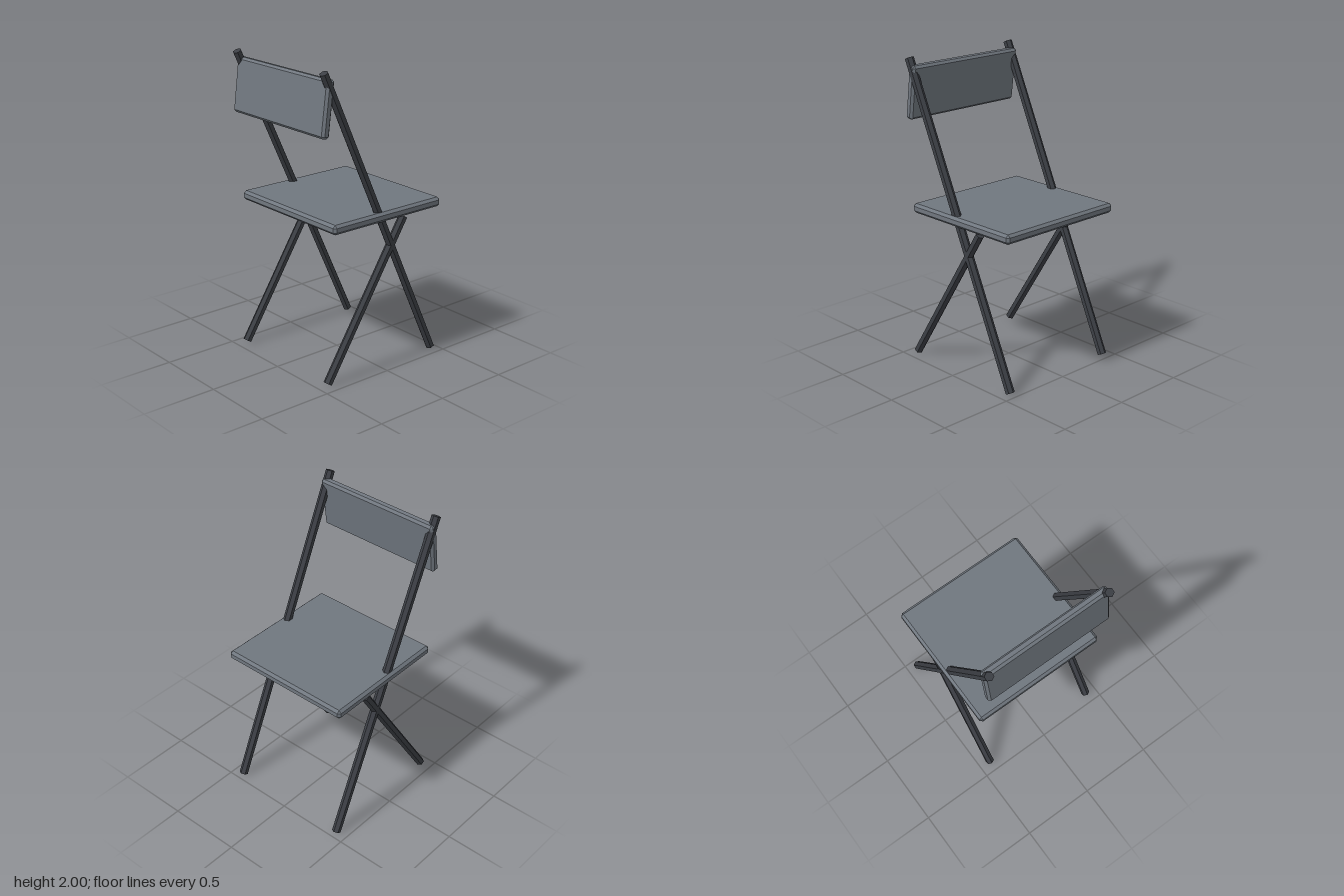
import * as THREE from 'three';
import { ConvexGeometry } from 'three/addons/geometries/ConvexGeometry.js';

const panelMaterial = new THREE.MeshStandardMaterial({ color: 0x70777f, flatShading: true });
const frameMaterial = new THREE.MeshStandardMaterial({ color: 0x3c3f45, flatShading: true });

// Box with every edge and corner chamfered by c
function chamferedBox(w, h, d, c) {
  const points = [];
  for (const sx of [-1, 1]) for (const sy of [-1, 1]) for (const sz of [-1, 1]) {
    for (let axis = 0; axis < 3; axis++) {
      const inset = [c, c, c];
      inset[axis] = 0;
      points.push(new THREE.Vector3(
        sx * (w / 2 - inset[0]), sy * (h / 2 - inset[1]), sz * (d / 2 - inset[2])));
    }
  }
  return new ConvexGeometry(points);
}

// Hexagonal bar between two points of a side plane
function bar(name, x, [y0, z0], [y1, z1]) {
  const from = new THREE.Vector3(x, y0, z0);
  const to = new THREE.Vector3(x, y1, z1);
  const dir = to.clone().sub(from);
  const mesh = new THREE.Mesh(new THREE.CylinderGeometry(0.029, 0.029, dir.length(), 6), frameMaterial);
  mesh.position.copy(from).add(to).multiplyScalar(0.5);
  mesh.quaternion.setFromUnitVectors(new THREE.Vector3(0, 1, 0), dir.normalize());
  mesh.name = name;
  return mesh;
}

export function createModel() {
  const chair = new THREE.Group();
  chair.name = 'foldingChair';

  // Seat panel
  const seat = new THREE.Mesh(chamferedBox(0.93, 0.063, 0.886, 0.017), panelMaterial);
  seat.name = 'seat';
  seat.position.set(0, 1.028, -0.035);
  chair.add(seat);

  // Leaning backrest panel
  const backrest = new THREE.Mesh(chamferedBox(0.89, 0.351, 0.057, 0.015), panelMaterial);
  backrest.name = 'backrest';
  backrest.position.set(0, 1.773, 0.432);
  backrest.rotation.x = -0.127;
  chair.add(backrest);

  // Crossed legs; the long one runs up to carry the backrest
  for (const [side, x] of [['left', 0.422], ['right', -0.422]]) {
    chair.add(bar(side + 'LongLeg', x, [0.012, -0.454], [1.988, 0.454]));
    chair.add(bar(side + 'ShortLeg', x, [0.016, 0.43], [0.984, -0.188]));
  }
  return chair;
}
